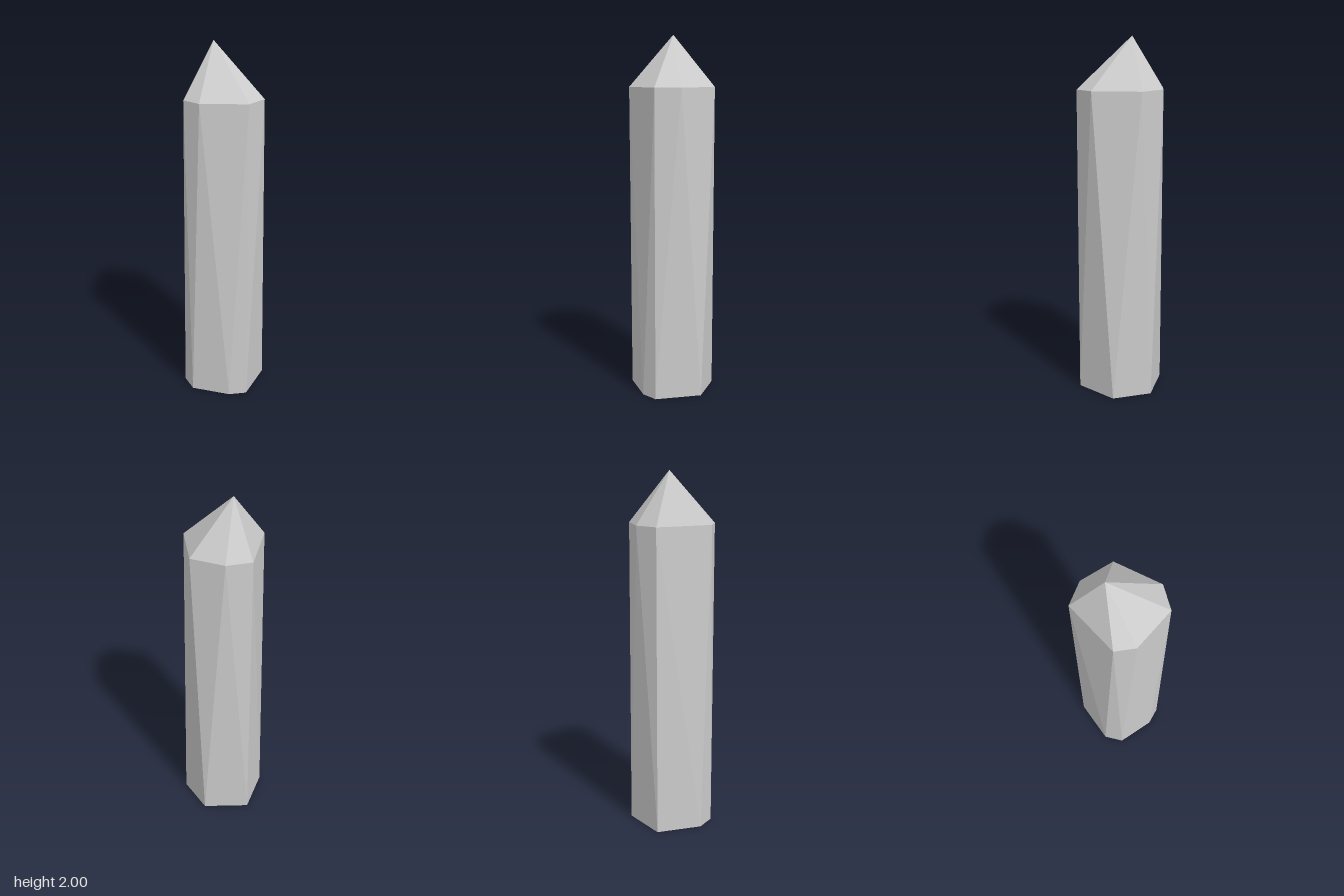
import * as THREE from 'three';
import { ConvexGeometry } from 'three/addons/geometries/ConvexGeometry.js';

// Seven-sided outlines as [x, z]; the shaft twists slightly between them
const baseRing = [
  [0.158, 0.19], [0.222, -0.063], [0.063, -0.222], [-0.19, -0.16],
  [-0.222, 0.095], [-0.158, 0.19], [0.063, 0.222],
];
const shoulderRing = [
  [0.158, 0.19], [0.222, 0.063], [0.127, -0.19], [-0.063, -0.222],
  [-0.19, -0.16], [-0.19, 0.158], [-0.095, 0.222],
];

const ringAt = (ring, y) => ring.map(([x, z]) => new THREE.Vector3(x, y, z));

export function createModel() {
  const group = new THREE.Group();
  group.name = 'crystal';

  // Faceted shaft closed by an off-centre point
  const geometry = new ConvexGeometry([
    ...ringAt(baseRing, 0),
    ...ringAt(shoulderRing, 1.718),
    new THREE.Vector3(-0.063, 2, -0.032),
  ]);
  const material = new THREE.MeshStandardMaterial({ color: 0xcccccc, flatShading: true });
  const shard = new THREE.Mesh(geometry, material);
  shard.name = 'crystalShard';
  group.add(shard);
  return group;
}
